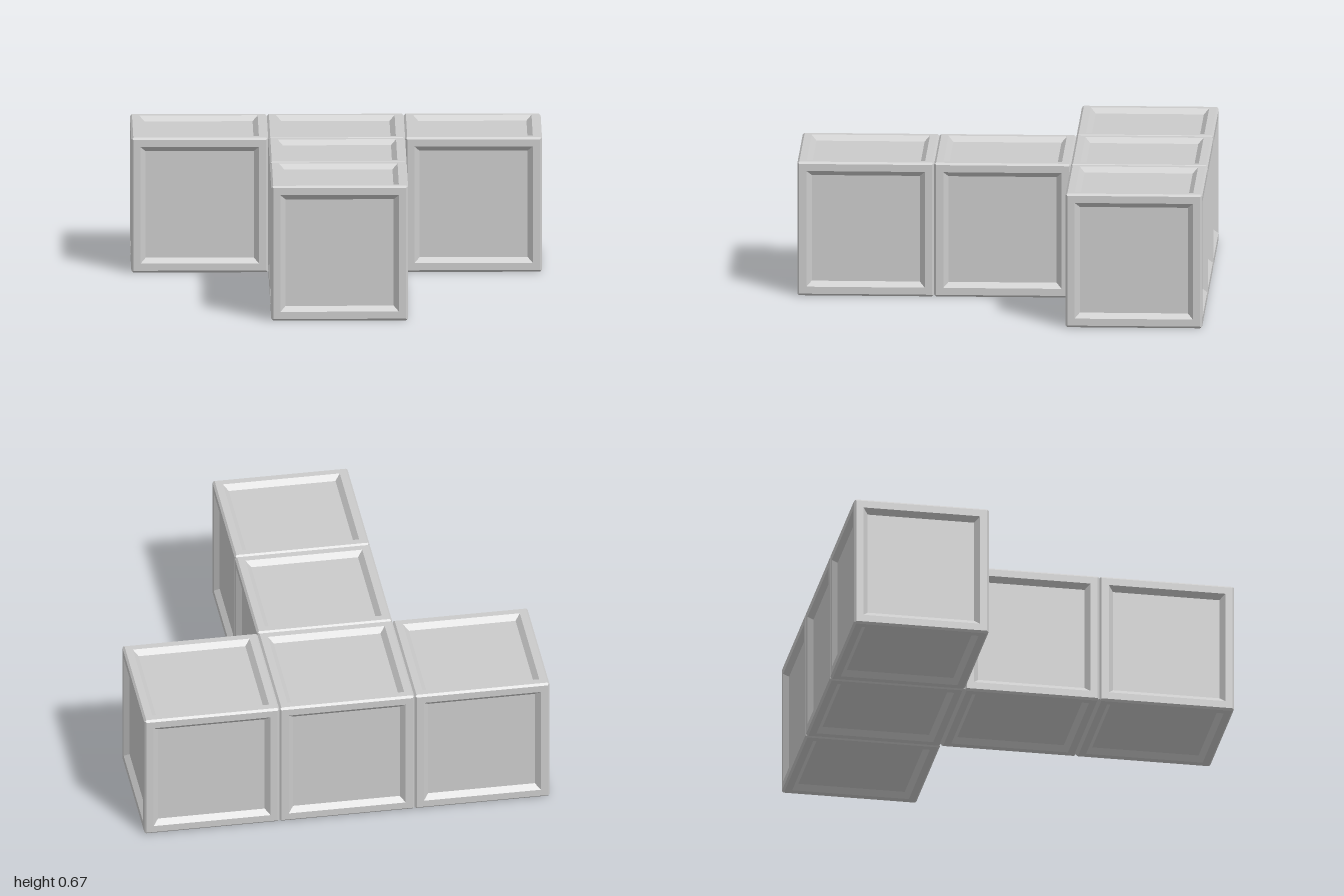
import * as THREE from 'three';
import { mergeGeometries } from 'three/addons/utils/BufferGeometryUtils.js';

const SIZE = 2 / 3;      // cube edge length and spacing
const BEVEL = 0.01;      // chamfer along the cube edges
const FRAME = 0.045;     // outer edge of the recess
const PANEL = 0.07;      // edge of the sunken panel
const DEPTH = 0.025;     // depth of the sunken panel

// One cube face: a four-sided lathe giving chamfer, frame, sloped rim and panel
function faceGeometry() {
  const h = SIZE / 2;
  const profile = [
    [h - BEVEL / 2, h - BEVEL / 2],
    [h - BEVEL, h],
    [h - FRAME, h],
    [h - PANEL, h - DEPTH],
    [0, h - DEPTH],
  ].map(([r, y]) => new THREE.Vector2(r * Math.SQRT2, y));
  return new THREE.LatheGeometry(profile, 4).rotateY(Math.PI / 4);
}

// Six faces turned outwards make a closed cube
function cubeGeometry() {
  const q = Math.PI / 2;
  const turns = [[0, 0], [q, 0], [-q, 0], [2 * q, 0], [0, q], [0, -q]];
  const faces = turns.map(([rx, rz]) => faceGeometry().rotateX(rx).rotateZ(rz));
  const cube = mergeGeometries(faces).toNonIndexed();
  cube.computeVertexNormals();
  return cube;
}

export function createModel() {
  const model = new THREE.Group();
  model.name = 'tShapedBlock';
  const material = new THREE.MeshStandardMaterial({ color: 0xcccccc, flatShading: true });
  const geometry = cubeGeometry();

  // Crossbar of three cubes at the back, stem of two towards the front
  const cells = [
    ['crossbarRight', -1, -1],
    ['crossbarMiddle', 0, -1],
    ['crossbarLeft', 1, -1],
    ['stemMiddle', 0, 0],
    ['stemFront', 0, 1],
  ];
  for (const [name, x, z] of cells) {
    const cube = new THREE.Mesh(geometry, material);
    cube.name = name;
    cube.position.set(x * SIZE, SIZE / 2, z * SIZE);
    model.add(cube);
  }
  return model;
}
